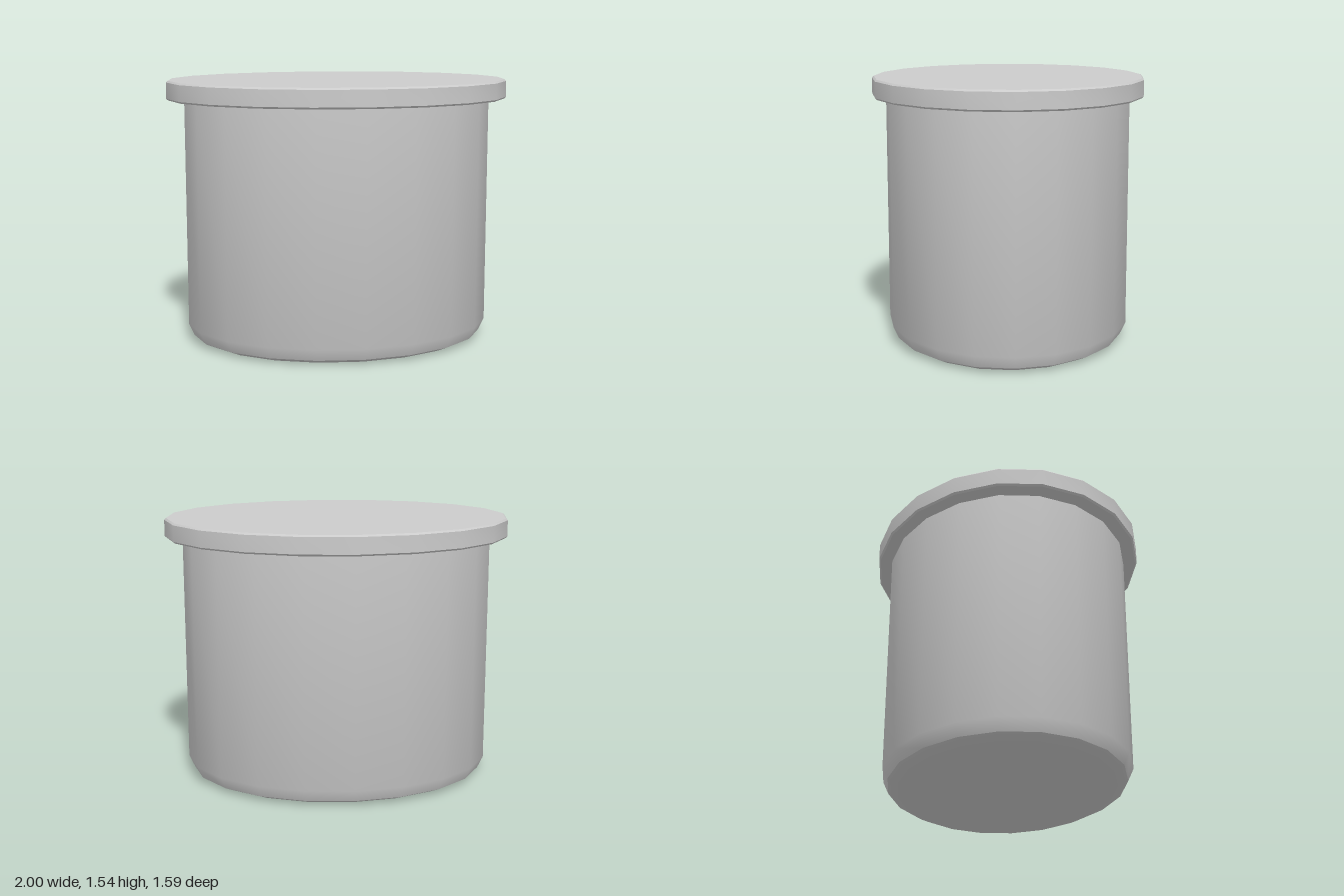
import * as THREE from 'three';
import { toCreasedNormals } from 'three/addons/utils/BufferGeometryUtils.js';

const SIDES = 20;
const TWIST = THREE.MathUtils.degToRad(3.6);

// Twenty-sided oval solid: profile is [x radius, y] from bottom to top;
// the z radius is smaller than the x radius by a fixed amount.
function ovalSolid(name, profile, narrowing, material) {
  const points = profile.map(([r, y]) => new THREE.Vector2(r, y));
  const geometry = new THREE.LatheGeometry(points, SIDES, TWIST);
  const pos = geometry.attributes.position;
  for (let i = 0; i < pos.count; i++) {
    const r = Math.hypot(pos.getX(i), pos.getZ(i));
    if (r > 1e-4) pos.setZ(i, pos.getZ(i) * (r - narrowing) / r);
  }
  const mesh = new THREE.Mesh(toCreasedNormals(geometry, 0.6), material);
  mesh.name = name;
  return mesh;
}

export function createModel() {
  const group = new THREE.Group();
  group.name = 'ovalPlug';
  const material = new THREE.MeshStandardMaterial({ color: 0xcccccc });

  // Body with a rounded bottom edge
  group.add(ovalSolid('body', [
    [0, 0], [0.805, 0], [0.868, 0.03], [0.9, 0.1], [0.9, 1.44], [0, 1.44],
  ], 0.183, material));

  // Overhanging lid with small bevels
  group.add(ovalSolid('lid', [
    [0, 1.43], [0.992, 1.43], [1.002, 1.44], [1.002, 1.533], [0.992, 1.543], [0, 1.543],
  ], 0.205, material));

  return group;
}
